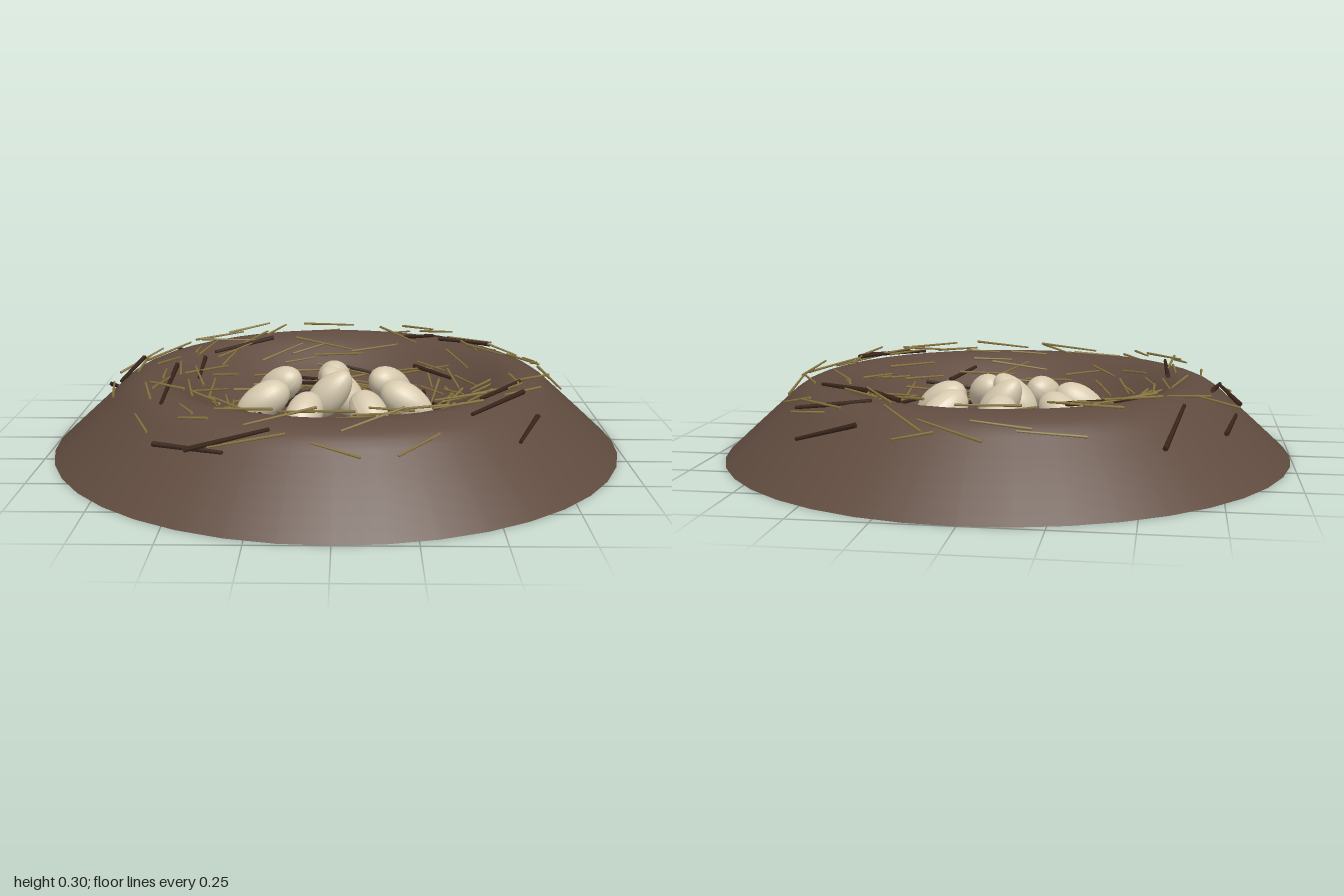
import * as THREE from 'three';

const mat = (name, color) => {
  const m = new THREE.MeshStandardMaterial({ color });
  m.name = name;
  return m;
};

// Mound profile from the outer foot, over the rim and down into the bowl
const profile = new THREE.SplineCurve([
  [1, 0], [0.9, 0.092], [0.8, 0.182], [0.73, 0.24], [0.65, 0.263], [0.58, 0.247],
  [0.5, 0.195], [0.42, 0.14], [0.32, 0.102], [0.18, 0.086], [0, 0.08],
].map(([r, y]) => new THREE.Vector2(r, y))).getPoints(30);

// Height of the mound at a given radius
function surfaceY(r) {
  for (let i = 1; i < profile.length; i++) {
    const a = profile[i - 1], b = profile[i];
    if (r >= b.x) return b.y + (a.y - b.y) * Math.min(1, (r - b.x) / (a.x - b.x));
  }
  return profile[profile.length - 1].y;
}

let seed = 7;
const rand = (a, b) => {
  seed = (seed * 16807) % 2147483647;
  return a + (b - a) * (seed / 2147483647);
};

const UP = new THREE.Vector3(0, 1, 0);

// A thin rod lying on the mound between two ground positions
function rod(name, material, radius, [x1, z1, x2, z2], lift, tilt = 0) {
  const mid = surfaceY(Math.hypot((x1 + x2) / 2, (z1 + z2) / 2));
  const height = (x, z) => (mid + surfaceY(Math.hypot(x, z))) / 2 + lift;
  const a = new THREE.Vector3(x1, height(x1, z1) + tilt, z1);
  const b = new THREE.Vector3(x2, height(x2, z2) - tilt, z2);
  const dir = b.clone().sub(a);
  const mesh = new THREE.Mesh(new THREE.CylinderGeometry(radius * 0.7, radius, dir.length(), 5), material);
  mesh.position.copy(a).add(b).multiplyScalar(0.5);
  mesh.quaternion.setFromUnitVectors(UP, dir.normalize());
  mesh.name = name;
  return mesh;
}

export function createModel() {
  const model = new THREE.Group();
  model.name = 'nest';
  const earth = mat('earth brown', 0x604b3f);
  const twig = mat('dark twig', 0x3a261b);
  const straw = mat('dry straw', 0x8a763f);
  const shell = mat('egg shell', 0xd6c9ae);

  // Earth mound with a hollow, and its flat underside
  const mound = new THREE.Mesh(new THREE.LatheGeometry(profile, 40), earth);
  mound.name = 'mound';
  const base = new THREE.Mesh(new THREE.CircleGeometry(1, 40), earth);
  base.rotation.x = Math.PI / 2;
  base.name = 'moundBase';
  model.add(mound, base);

  // Eggs: seven leaning outward around two upright ones [x, y, z, axis]
  const eggGeometry = new THREE.SphereGeometry(1, 24, 16);
  const p = eggGeometry.attributes.position;
  for (let i = 0; i < p.count; i++) {
    const y = p.getY(i), w = 0.062 * (1 - 0.13 * y);
    p.setXYZ(i, p.getX(i) * w, y * 0.104, p.getZ(i) * w);
  }
  eggGeometry.computeVertexNormals();
  const eggs = new THREE.Group();
  eggs.name = 'eggs';
  [
    [-0.01, 0.157, -0.27, 0, -0.55, -1],
    [0.205, 0.157, -0.17, 0.75, -0.55, -0.65],
    [0.255, 0.155, 0.05, 1, -0.55, 0.2],
    [0.12, 0.157, 0.23, 0.45, -0.55, 0.9],
    [-0.11, 0.152, 0.24, -0.35, -0.55, 0.9],
    [-0.26, 0.157, 0.06, -1, -0.55, 0.1],
    [-0.215, 0.157, -0.165, -0.8, -0.55, -0.6],
    [0.02, 0.17, -0.04, -0.6, 0.75, -0.12],
    [-0.02, 0.178, 0.03, 0.6, 0.7, 0.15],
  ].forEach(([x, y, z, ax, ay, az]) => {
    const egg = new THREE.Mesh(eggGeometry, shell);
    egg.name = 'egg';
    egg.position.set(x, y, z);
    egg.quaternion.setFromUnitVectors(UP, new THREE.Vector3(ax, ay, az).normalize());
    eggs.add(egg);
  });
  model.add(eggs);

  // Larger dark twigs: ground positions of both ends
  const twigs = new THREE.Group();
  twigs.name = 'twigs';
  [
    [-0.57, -0.65, -0.625, -0.39], [0.37, -0.69, 0.58, -0.64], [0.355, -0.56, 0.615, -0.53],
    [0.27, -0.53, 0.38, -0.47], [-0.26, -0.51, -0.47, -0.32], [0.4, -0.44, 0.58, -0.35],
    [-0.82, -0.05, -0.76, 0.11], [-0.72, -0.18, -0.755, 0.09], [-0.57, 0, -0.555, 0.46],
    [0.62, 0.25, 0.47, 0.455], [0.62, 0.35, 0.43, 0.575], [0.66, 0.42, 0.58, 0.6],
    [-0.555, 0.64, -0.33, 0.73], [-0.45, 0.71, -0.19, 0.7], [0.28, 0.35, 0.2, 0.48],
    [-0.21, 0.29, 0.01, 0.48], [-0.5, -0.24, -0.5, -0.05], [-0.22, -0.33, -0.05, -0.29],
    [0.3, -0.35, 0.43, -0.19], [-0.76, -0.4, -0.8, -0.18],
  ].forEach((ends) => twigs.add(rod('twig', twig, 0.009, ends, 0.018, rand(-0.015, 0.015))));
  model.add(twigs);

  // Scatter rods roughly tangent to a ring of the nest
  function scatter(group, count, rMin, rMax, material, radius, lift) {
    for (let i = 0; i < count; i++) {
      const t = ((i + rand(0, 1)) / count) * Math.PI * 2;
      const r = rand(rMin, rMax), d = t + Math.PI / 2 + rand(-0.55, 0.55), h = rand(0.06, 0.12);
      const x = r * Math.cos(t), z = r * Math.sin(t), dx = h * Math.cos(d), dz = h * Math.sin(d);
      group.add(rod(group.name + 'Piece', material, radius, [x - dx, z - dz, x + dx, z + dz],
        rand(0.008, lift), rand(-0.012, 0.012)));
    }
  }
  [
    ['rimStraw', 56, 0.56, 0.8, straw, 0.005, 0.035],
    ['bowlStraw', 85, 0.3, 0.54, straw, 0.005, 0.03],
    ['floorTwigs', 26, 0.15, 0.42, twig, 0.008, 0.025],
  ].forEach(([name, ...args]) => {
    const group = new THREE.Group();
    group.name = name;
    scatter(group, ...args);
    model.add(group);
  });

  return model;
}
